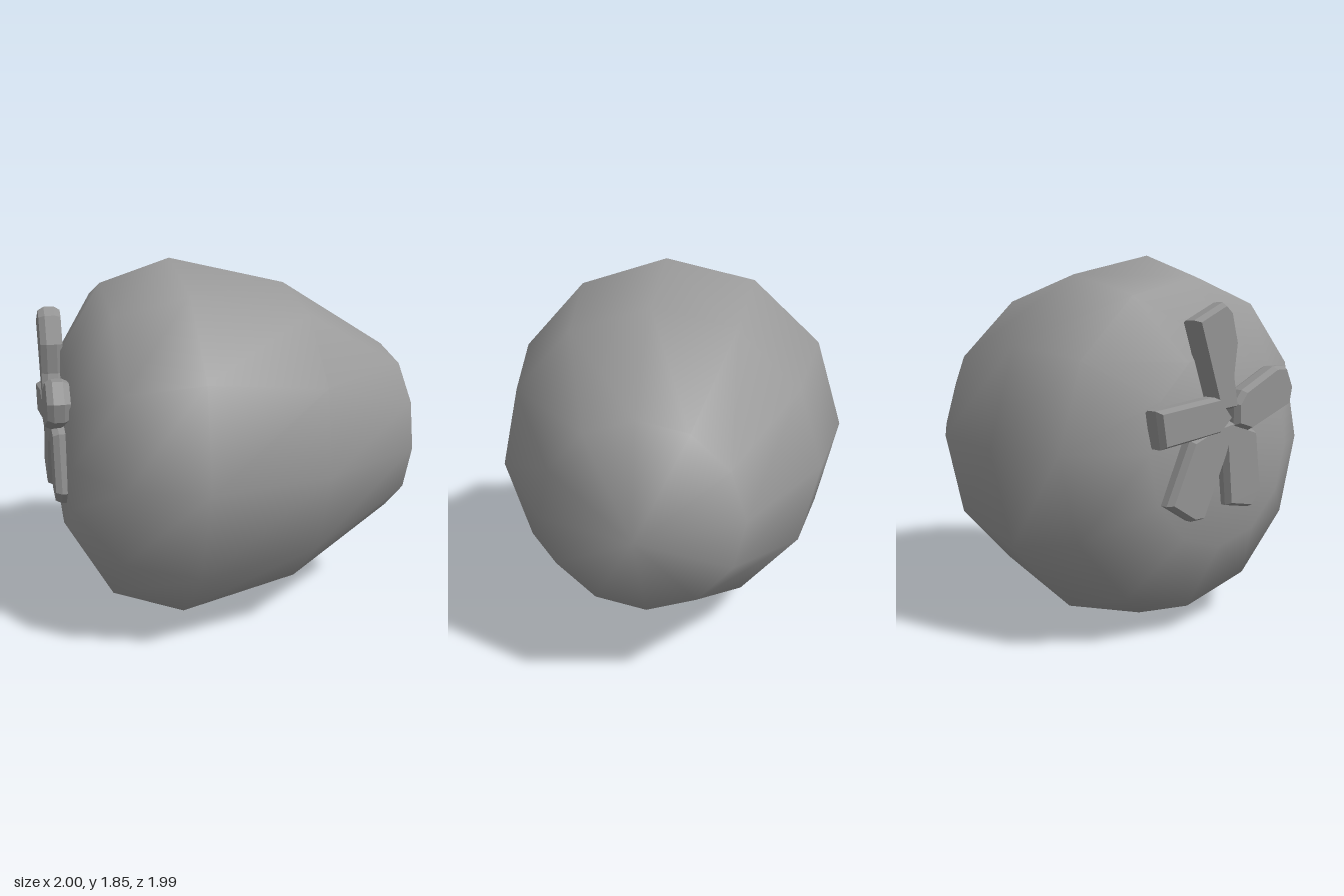
import * as THREE from 'three';
import { mergeVertices } from 'three/addons/utils/BufferGeometryUtils.js';

export function createModel() {
  const model = new THREE.Group();
  const fruit = new THREE.Group();
  fruit.name = 'fruit';
  fruit.rotation.y = -0.814; // stem end turned to front and -x
  model.add(fruit);

  // Body: twelve-sided smooth lathe, blunt stem end to rounded tip
  const radius = 0.928;
  const heights = [-0.81, -0.81, -0.61, -0.26, 0.355, 0.95, 1.175];
  const profile = heights.map((h, i) =>
    new THREE.Vector2(radius * Math.abs(Math.sin((i * Math.PI) / 6)), h));
  profile[0].x = profile[6].x = 0;
  const lathe = new THREE.LatheGeometry(profile, 12);
  lathe.rotateX(-Math.PI / 2);
  // Weld seam and poles so the shading is smooth all over
  lathe.deleteAttribute('normal');
  lathe.deleteAttribute('uv');
  const bodyGeo = mergeVertices(lathe, 1e-4);
  bodyGeo.computeVertexNormals();
  const body = new THREE.Mesh(bodyGeo, new THREE.MeshStandardMaterial({ color: 0x9a9a9a }));
  body.name = 'body';
  body.rotation.set(-0.02, 0, -0.04);
  body.position.set(-0.008, 0.927, 0);
  fruit.add(body);

  // Leaves: thick faceted slabs around the stem end, [outline, distance along axis]
  const leaves = [
    [[[-0.13, 1.13], [0, 1.14], [-0.03, 1.29], [-0.01, 1.44], [-0.05, 1.58], [-0.1, 1.62], [-0.28, 1.54]], 0.785],
    [[[-0.51, 1.16], [-0.48, 0.99], [-0.12, 1.03], [-0.04, 1.1], [-0.13, 1.2]], 0.79],
    [[[0.0, 1.08], [-0.14, 1.06], [-0.28, 1.01], [-0.42, 0.73], [-0.27, 0.64], [-0.2, 0.64], [-0.06, 0.92]], 0.77],
    [[[-0.06, 1.08], [-0.06, 0.98], [-0.03, 0.68], [0.13, 0.65], [0.2, 0.72], [0.16, 1.02], [0.03, 1.06]], 0.76],
    [[[-0.02, 1.16], [-0.02, 1.06], [0.08, 1.03], [0.36, 1.13], [0.38, 1.22], [0.33, 1.32], [0.25, 1.32], [0.03, 1.22]], 0.795],
  ];
  const leafMat = new THREE.MeshStandardMaterial({ color: 0x929292, flatShading: true });
  const calyx = new THREE.Group();
  calyx.name = 'calyx';
  calyx.position.x = 0.015;
  fruit.add(calyx);
  leaves.forEach(([points, z], i) => {
    const shape = new THREE.Shape(points.map(([u, v]) => new THREE.Vector2(u, v)));
    const geo = new THREE.ExtrudeGeometry(shape, {
      depth: 0.05, bevelEnabled: true, bevelSegments: 1,
      bevelThickness: 0.03, bevelSize: 0.015, bevelOffset: -0.015,
    });
    const leaf = new THREE.Mesh(geo, leafMat);
    leaf.name = 'leaf' + (i + 1);
    leaf.position.z = z + 0.03;
    calyx.add(leaf);
  });

  return model;
}
